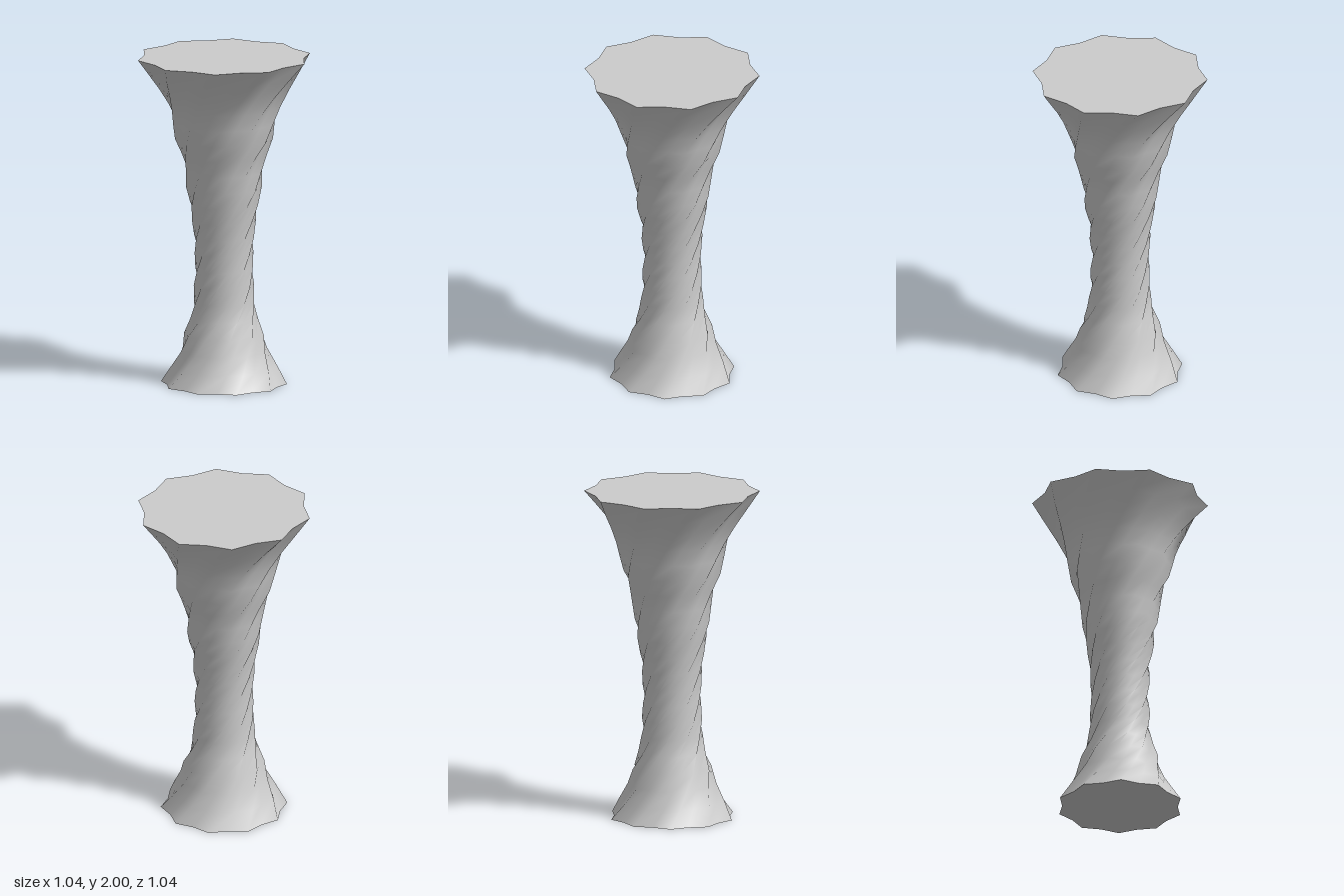
import * as THREE from 'three';
import { toCreasedNormals } from 'three/addons/utils/BufferGeometryUtils.js';

const POINTS = 20; // ten ridges and ten grooves
const ROWS = 20;

// [height, ridge radius]
const PROFILE = [
  [0, 0.381], [0.18, 0.272], [0.33, 0.235], [0.43, 0.188], [0.55, 0.185], [0.75, 0.174],
  [0.97, 0.188], [1.2, 0.227], [1.36, 0.243], [1.5, 0.295], [1.67, 0.328], [1.83, 0.405], [2, 0.528],
];
// [height, twist in degrees]: the narrower the column, the faster it turns
const TWIST = [
  [0, 0], [0.18, 18], [0.33, 37], [0.45, 56], [0.55, 74], [0.75, 111],
  [0.97, 152], [1.2, 189], [1.5, 226], [1.67, 244], [1.83, 259], [2, 271],
];

// Linear lookup in a table of [height, value]
function sample(table, y) {
  let i = 1;
  while (i < table.length - 1 && y > table[i][0]) i++;
  const [y0, v0] = table[i - 1];
  const [y1, v1] = table[i];
  return v0 + (v1 - v0) * THREE.MathUtils.clamp((y - y0) / (y1 - y0), 0, 1);
}

export function createModel() {
  const group = new THREE.Group();
  group.name = 'twistedPedestal';

  // Closed cylinder reshaped into a flared, fluted and twisted column
  const geometry = new THREE.CylinderGeometry(1, 1, 2, POINTS, ROWS);
  const pos = geometry.attributes.position;
  for (let i = 0; i < pos.count; i++) {
    const x = pos.getX(i), z = pos.getZ(i);
    const y = pos.getY(i) + 1;
    const unit = Math.hypot(x, z); // 0 at the cap centres
    const step = Math.round((Math.atan2(x, z) / (2 * Math.PI)) * POINTS);
    const groove = step % 2 === 0 ? 1 : 0.912;
    const r = unit * groove * sample(PROFILE, y);
    const a = (step * 2 * Math.PI) / POINTS + THREE.MathUtils.degToRad(26 + sample(TWIST, y));
    pos.setXYZ(i, r * Math.sin(a), y, r * Math.cos(a));
  }

  // Smooth sides, sharp rims
  const column = new THREE.Mesh(
    toCreasedNormals(geometry, 1.5),
    new THREE.MeshStandardMaterial({ color: 0xcccccc }),
  );
  column.name = 'twistedColumn';
  group.add(column);
  return group;
}
